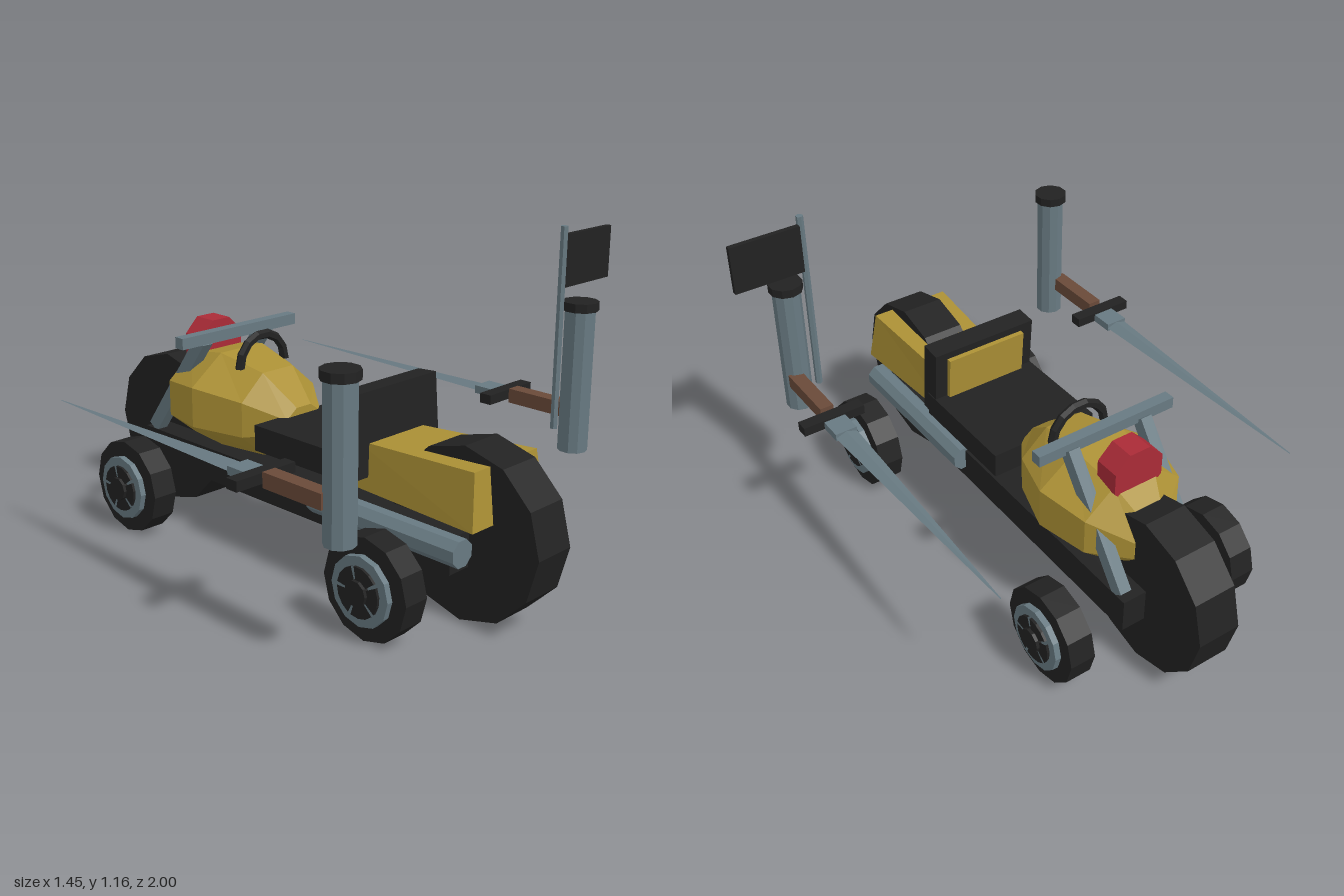
import * as THREE from 'three';

const paint = (name, color) => {
  const m = new THREE.MeshStandardMaterial({ color, flatShading: true });
  m.name = name;
  return m;
};

export function createModel() {
  const yellow = paint('mustard', 0xab9035);
  const dark = paint('black rubber', 0x222222);
  const steel = paint('steel', 0x687a82);
  const red = paint('red', 0xaa2b37);
  const brown = paint('brown leather', 0x6a4a39);

  const model = new THREE.Group();
  model.name = 'quadBike';
  const body = new THREE.Group();
  body.name = 'bikeBody';
  body.position.x = -0.033;
  model.add(body);

  const add = (parent, name, geo, mat, x = 0, y = 0, z = 0) => {
    const m = new THREE.Mesh(geo, mat);
    m.name = name;
    m.position.set(x, y, z);
    parent.add(m);
    return m;
  };
  const box = (w, h, d) => new THREE.BoxGeometry(w, h, d);
  const cylY = (r, h, n) => new THREE.CylinderGeometry(r, r, h, n);
  const cylX = (r, w, n) => cylY(r, w, n).rotateZ(-Math.PI / 2);
  const cylZ = (r, d, n) => cylY(r, d, n).rotateY(Math.PI / n).rotateX(Math.PI / 2);

  // Closed loft through equal-sized rings ordered from +z to -z
  const loft = (rings) => {
    const n = rings[0].length, pos = rings.flat(2), idx = [];
    for (let r = 0; r < rings.length - 1; r++) {
      for (let i = 0; i < n; i++) {
        const a = r * n + i, b = r * n + (i + 1) % n;
        idx.push(a, a + n, b, b, a + n, b + n);
      }
    }
    const last = (rings.length - 1) * n;
    for (let i = 1; i < n - 1; i++) {
      idx.push(0, i, i + 1, last, last + i + 1, last + i);
    }
    const g = new THREE.BufferGeometry();
    g.setAttribute('position', new THREE.Float32BufferAttribute(pos, 3));
    g.setIndex(idx);
    const flat = g.toNonIndexed();
    flat.computeVertexNormals();
    return flat;
  };

  // Chassis, big centre wheels and exhausts
  add(body, 'frame', box(0.33, 0.12, 1.48), dark, 0, 0.255, 0);
  for (const s of [1, -1]) {
    add(body, 'centreWheel', cylX(0.286, 0.155, 12), dark, 0, 0.295, s * 0.714);
    add(body, 'exhaustPipe', cylZ(0.047, 0.62, 8), steel, s * 0.168, 0.283, 0.48);
  }

  // Tapered tail
  const tailRing = (zTop, zBottom, wTop, wBottom, top) => [
    [wTop, top, zTop], [-wTop, top, zTop], [-wBottom, 0.36, zBottom], [wBottom, 0.36, zBottom]];
  add(body, 'tail', loft([
    tailRing(0.81, 0.83, 0.15, 0.175, 0.54),
    tailRing(0.31, 0.29, 0.125, 0.14, 0.51)]), yellow);

  // Seat and leaning backrest with its front pad
  add(body, 'seat', box(0.41, 0.09, 0.43), dark, 0, 0.438, 0.13);
  const back = add(body, 'backrest', box(0.405, 0.275, 0.077), dark, 0, 0.54, 0.33);
  back.rotation.x = -0.08;
  add(back, 'backrestPad', box(0.31, 0.2, 0.018), yellow, 0, 0.01, -0.047);

  // Faceted egg-shaped tank: z, half width, bottom, top
  const tank = [
    [-0.06, 0.08, 0.39, 0.51], [-0.19, 0.17, 0.315, 0.615], [-0.38, 0.233, 0.31, 0.655],
    [-0.56, 0.19, 0.315, 0.625], [-0.675, 0.08, 0.36, 0.52]];
  add(body, 'tank', loft(tank.map(([z, w, lo, hi]) => Array.from({ length: 8 }, (_, i) => {
    const a = (i + 0.5) * Math.PI / 4, k = 1 / Math.cos(Math.PI / 8);
    return [Math.cos(a) * k * w, (lo + hi) / 2 + Math.sin(a) * k * (hi - lo) / 2, z];
  }))), yellow);
  const grip = add(body, 'tankHandle', new THREE.TorusGeometry(0.105, 0.017, 6, 7, Math.PI), dark, 0, 0.62, -0.27);
  grip.scale.y = 1.02;
  add(body, 'headlight', cylZ(0.1, 0.09, 8), red, 0, 0.65, -0.535);

  // Handlebar and slanted fork legs
  add(body, 'handlebar', box(0.53, 0.04, 0.04), steel, 0, 0.716, -0.402);
  for (const s of [1, -1]) {
    const leg = add(body, 'forkLeg', box(0.042, 0.48, 0.05), steel, s * 0.143, 0.512, -0.558);
    leg.rotation.x = Math.atan2(0.29, 0.39);
  }

  // Four side wheels with spoked hubs on their outer faces
  for (const s of [1, -1]) {
    for (const z of [0.59, -0.59]) {
      const wheel = new THREE.Group();
      wheel.name = 'sideWheel';
      wheel.position.set(s * 0.333, 0.17, z);
      if (s < 0) wheel.rotation.y = Math.PI;
      body.add(wheel);
      add(wheel, 'tyre', cylX(0.169, 0.092, 12), dark);
      add(wheel, 'rim', cylX(0.115, 0.022, 12), steel, 0.056);
      for (let i = 0; i < 5; i++) {
        const wedge = new THREE.CylinderGeometry(0.083, 0.083, 0.01, 3, 1, false,
          i * Math.PI * 0.4, Math.PI * 0.4 - 0.14).rotateZ(-Math.PI / 2);
        add(wheel, 'hubWedge', wedge, dark, 0.071);
      }
      add(wheel, 'hubCap', cylX(0.042, 0.02, 10), dark, 0.077);
    }
  }

  // Side lances, each with an upright post
  for (const [s, name] of [[1, 'leftLance'], [-1, 'rightLance']]) {
    const lance = new THREE.Group();
    lance.name = name;
    lance.position.x = s * 0.578 - 0.033;
    model.add(lance);
    const postX = s > 0 ? -0.02 : 0.02;
    add(lance, 'post', cylY(0.05, 0.485, 10), steel, postX, 0.64, 0.665);
    add(lance, 'postCap', cylY(0.06, 0.03, 10), dark, postX, 0.895, 0.665);
    add(lance, 'grip', box(0.05, 0.05, 0.24), brown, 0, 0.527, 0.515);
    add(lance, 'guard', box(0.23, 0.034, 0.045), dark, 0, 0.527, 0.363);
    const blade = new THREE.CylinderGeometry(0.002, 0.04, 0.93, 4).rotateX(-Math.PI / 2);
    add(lance, 'blade', blade, steel, 0, 0.522, -0.205).scale.y = 0.35;
    add(lance, 'bladeCollar', box(0.08, 0.028, 0.085), steel, 0, 0.524, 0.3);
  }

  // Flag beside the left post
  add(model, 'flagPole', cylY(0.013, 0.68, 6), steel, 0.458, 0.82, 0.632);
  add(model, 'flag', box(0.255, 0.175, 0.018), dark, 0.595, 1.043, 0.625);

  return model;
}
